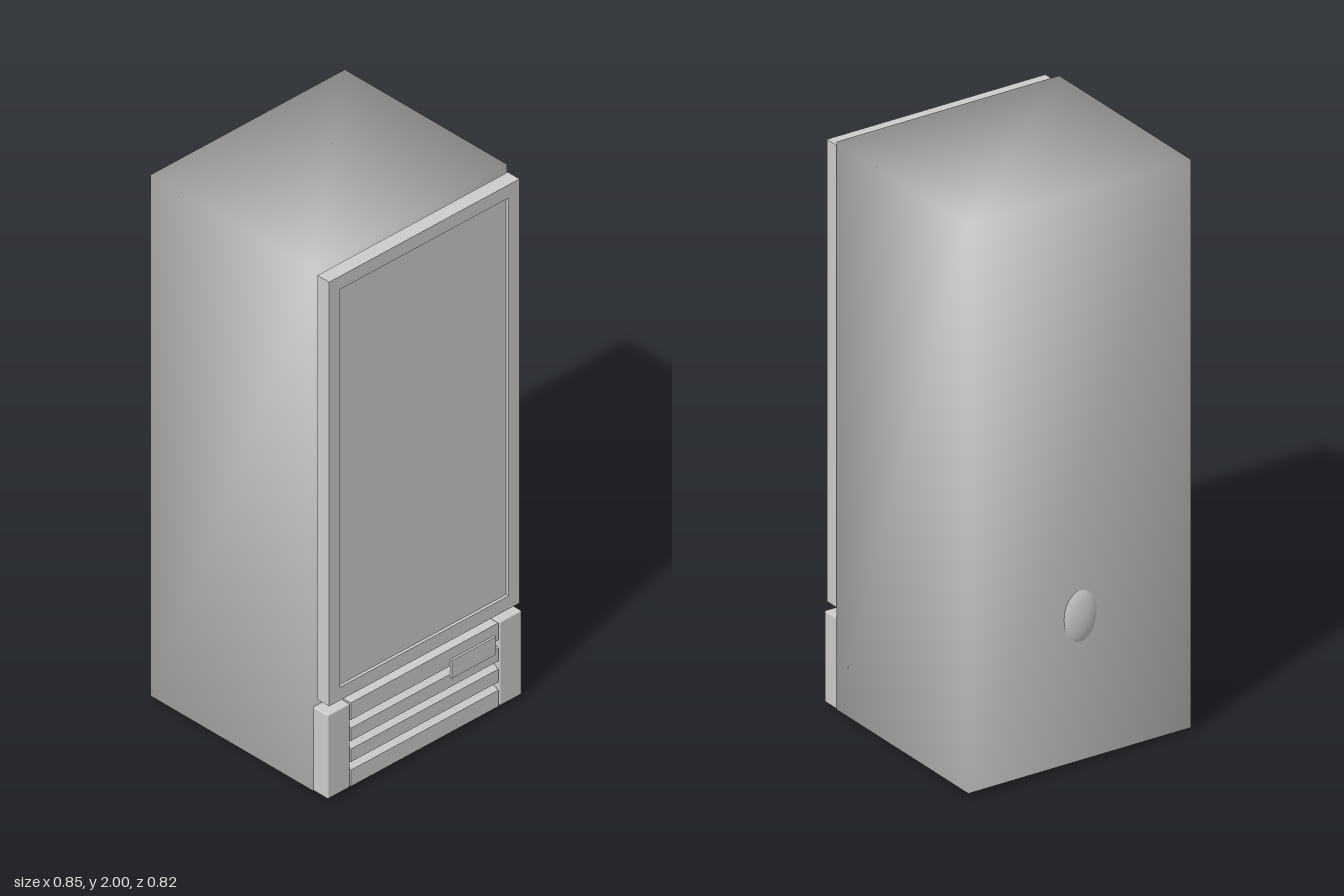
import * as THREE from 'three';
import { mergeVertices } from 'three/addons/utils/BufferGeometryUtils.js';
import { RoundedBoxGeometry } from 'three/addons/geometries/RoundedBoxGeometry.js';

export function createModel() {
  const model = new THREE.Group();
  const grey = new THREE.MeshStandardMaterial({ color: 0xcccccc });
  grey.name = 'light grey';

  const add = (name, geometry, x = 0, y = 0, z = 0, parent = model) => {
    const mesh = new THREE.Mesh(geometry, grey);
    mesh.name = name;
    mesh.position.set(x, y, z);
    parent.add(mesh);
    return mesh;
  };
  const group = (name) => {
    const g = new THREE.Group();
    g.name = name;
    model.add(g);
    return g;
  };
  const rectangle = (Type, w, h) => {
    const p = new Type();
    p.moveTo(-w / 2, -h / 2);
    p.lineTo(w / 2, -h / 2);
    p.lineTo(w / 2, h / 2);
    p.lineTo(-w / 2, h / 2);
    p.closePath();
    return p;
  };

  // Cabinet: box with shared corners, so its shading is smooth
  let body = new THREE.BoxGeometry(0.848, 1.985, 0.735);
  body.deleteAttribute('normal');
  body.deleteAttribute('uv');
  body = mergeVertices(body);
  body.computeVertexNormals();
  add('cabinet', body, 0, 1.0075, -0.0325);

  // Door: frame around a slightly recessed panel, standing just off the cabinet
  const door = group('door');
  const frame = rectangle(THREE.Shape, 0.832, 1.615);
  frame.holes.push(rectangle(THREE.Path, 0.736, 1.515));
  add('doorFrame', new THREE.ExtrudeGeometry(frame, { depth: 0.053, bevelEnabled: false }),
    0, 1.1725, 0.348, door);
  add('doorPanel', new THREE.BoxGeometry(0.736, 1.515, 0.042), 0, 1.1725, 0.369, door);

  // Base: two posts and a grille with V-shaped grooves
  const base = group('base');
  for (const side of [-1, 1]) {
    add(side > 0 ? 'leftPost' : 'rightPost',
      new RoundedBoxGeometry(0.097, 0.32, 0.069, 2, 0.005), side * 0.3755, 0.175, 0.369, base);
  }
  const back = 0.335, front = 0.402;
  const profile = new THREE.Shape();
  profile.moveTo(back, 0.016);
  profile.lineTo(front, 0.016);
  for (const y of [0.094, 0.174, 0.254]) {
    profile.lineTo(front, y - 0.016);
    profile.lineTo(front - 0.03, y);
    profile.lineTo(front, y + 0.015);
  }
  profile.lineTo(front, 0.334);
  profile.lineTo(back, 0.334);
  profile.closePath();
  const grilleWidth = 0.644;
  const grille = new THREE.ExtrudeGeometry(profile, { depth: grilleWidth, bevelEnabled: false });
  grille.rotateY(-Math.PI / 2);
  add('grille', grille, grilleWidth / 2, 0, 0, base);

  // Control plate over the end of the top groove
  add('controlPlate', new THREE.BoxGeometry(0.193, 0.068, 0.009), 0.2085, 0.26, 0.4055, base);

  // Rear oval cap, sunk into the back
  const cap = new THREE.SphereGeometry(1, 32, 20);
  cap.scale(0.072, 0.104, 0.03);
  add('rearCap', cap, -0.003, 0.52, -0.385);

  // Round feet
  const feet = group('feet');
  for (const x of [-0.35, 0.346]) {
    for (const z of [-0.27, 0.265]) {
      add('foot', new THREE.CylinderGeometry(0.066, 0.06, 0.017, 32), x, 0.0085, z, feet);
    }
  }
  return model;
}
